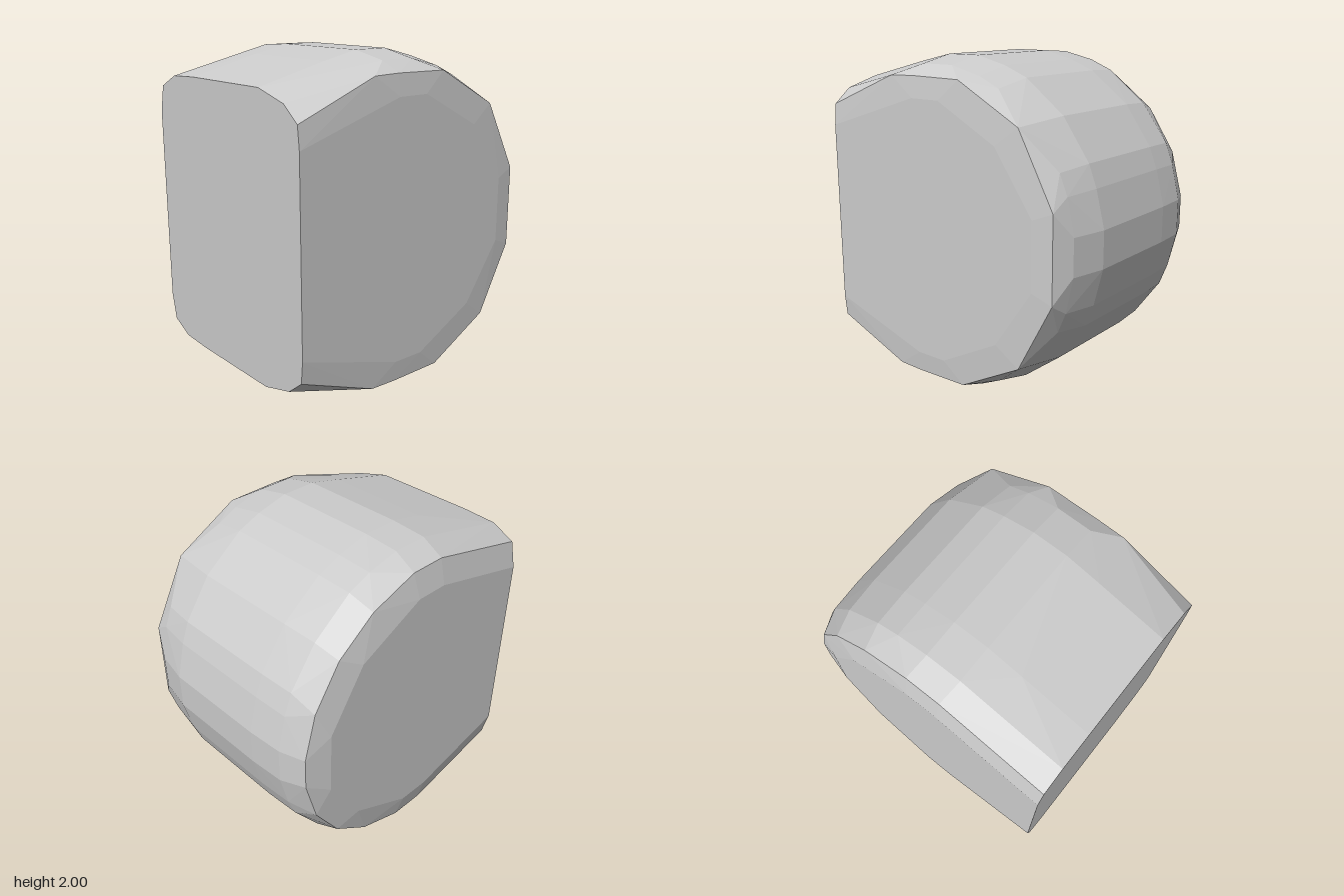
import * as THREE from 'three';
import { ConvexGeometry } from 'three/addons/geometries/ConvexGeometry.js';

// Upper half of each cross-section as [x, height above the axis], at depth z.
const sections = [
  // back flat
  { z: -0.705, half: [[-0.875, 0.6], [-0.2, 0.77], [0, 0.77], [0.42, 0.56], [0.65, 0.2]] },
  // back rim
  { z: -0.668, half: [[-0.875, 0.76], [-0.2, 0.925], [0.02, 0.925], [0.32, 0.82], [0.56, 0.64], [0.73, 0.38], [0.805, 0.1]] },
  { z: -0.52, half: [[-0.875, 0.83], [-0.22, 0.985], [0, 0.985], [0.2, 0.94], [0.345, 0.88], [0.59, 0.69], [0.76, 0.455], [0.81, 0.325], [0.862, 0.11]] },
  // full barrel
  ...[-0.3, 0.36].map((z) => ({
    z,
    half: [[-0.875, 0.84], [-0.44, 0.95], [-0.22, 1], [0, 1], [0.2, 0.95], [0.35, 0.89], [0.6, 0.7], [0.77, 0.46], [0.82, 0.33], [0.875, 0.11]],
  })),
  // front shoulder
  { z: 0.58, half: [[-0.875, 0.78], [-0.22, 0.955], [0, 0.955], [0.2, 0.905], [0.33, 0.845], [0.57, 0.67], [0.735, 0.44], [0.785, 0.32], [0.83, 0.11]] },
  // coarse front rim
  { z: 0.692, half: [[-0.875, 0.69], [-0.37, 0.89], [-0.2, 0.895], [0.14, 0.89], [0.55, 0.67], [0.775, 0.25]] },
  // front flat
  { z: 0.705, half: [[-0.875, 0.56], [-0.2, 0.77], [0, 0.77], [0.4, 0.56], [0.65, 0.2]] },
];

export function createModel() {
  const group = new THREE.Group();
  group.name = 'roundedBlock';

  // mirror every half section about the axis at y = 1 and wrap the sections in a skin
  const points = sections.flatMap(({ z, half }) =>
    half.flatMap(([x, h]) => [1, -1].map((s) => new THREE.Vector3(x, 1 + s * h, z))));

  const body = new THREE.Mesh(
    new ConvexGeometry(points),
    new THREE.MeshStandardMaterial({ color: 0xcccccc, flatShading: true }),
  );
  body.name = 'body';
  group.add(body);
  return group;
}
